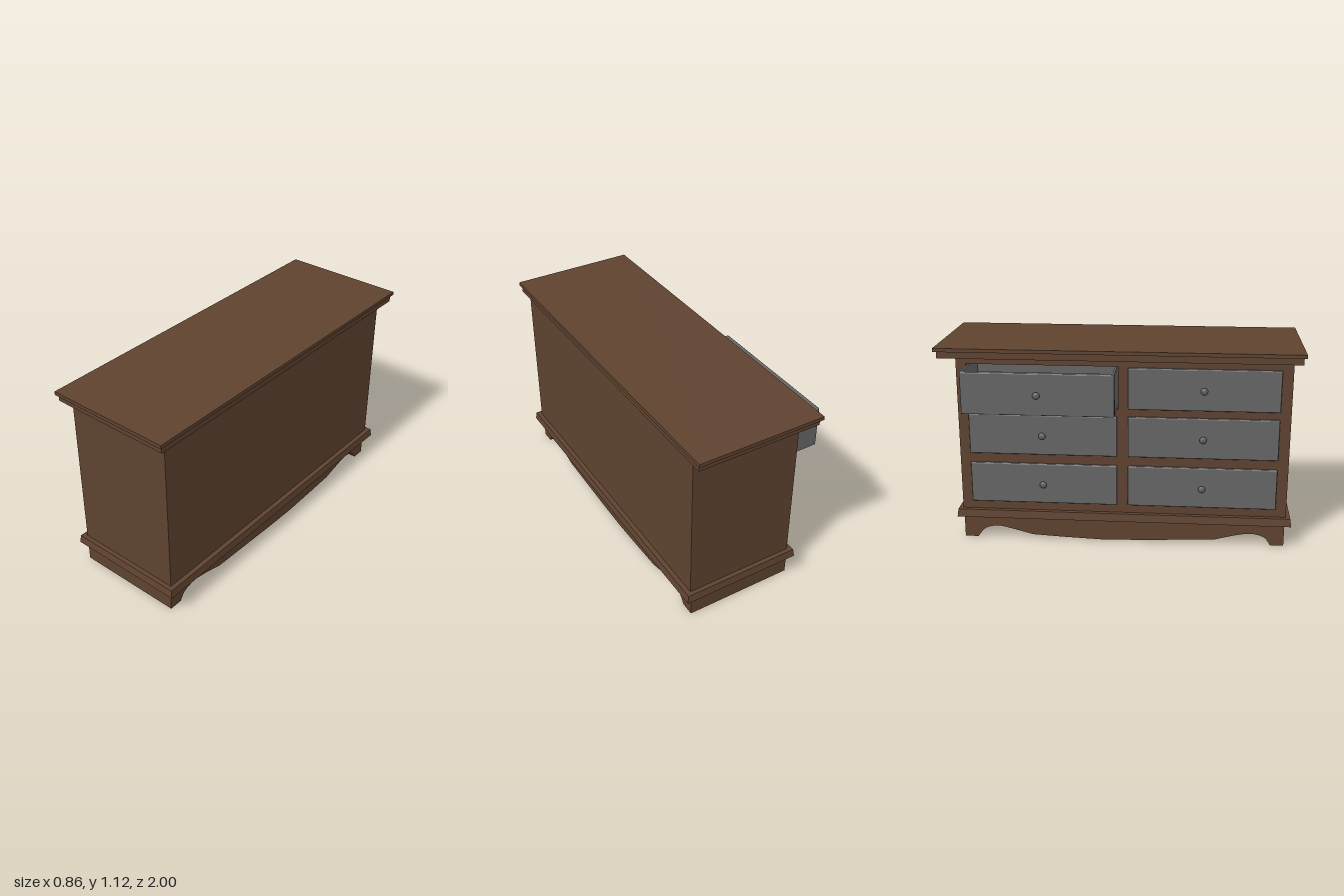
import * as THREE from 'three';
import { RoundedBoxGeometry } from 'three/addons/geometries/RoundedBoxGeometry.js';

export function createModel() {
  const wood = new THREE.MeshStandardMaterial({ color: 0x5f4330 });
  wood.name = 'brownWood';
  const grey = new THREE.MeshStandardMaterial({ color: 0x666666 });
  grey.name = 'drawerGrey';

  const group = new THREE.Group();
  group.name = 'dresser';

  const add = (name, geometry, material, parent = group) => {
    const mesh = new THREE.Mesh(geometry, material);
    mesh.name = name;
    parent.add(mesh);
    return mesh;
  };
  // Box given by its limits on each axis
  const box = (name, [x0, x1], [y0, y1], [z0, z1], material, parent, radius = 0) => {
    const size = [x1 - x0, y1 - y0, z1 - z0];
    const geometry = radius ? new RoundedBoxGeometry(...size, 2, radius) : new THREE.BoxGeometry(...size);
    geometry.translate((x0 + x1) / 2, (y0 + y1) / 2, (z0 + z1) / 2);
    return add(name, geometry, material, parent);
  };

  const columns = [[-0.83, -0.005], [0.055, 0.88]];
  const rows = [[0.225, 0.457], [0.513, 0.743], [0.787, 1.018]];

  // Two-step top
  box('topBoard', [-0.285, 0.427], [1.097, 1.117], [-1, 1], wood);
  box('topMoulding', [-0.275, 0.417], [1.06, 1.097], [-0.982, 0.985], wood);

  // Case: solid back part, front part with a cavity for the open drawer
  const rect = (target, z0, z1, y0, y1) => {
    // shape x runs along -z, so the extrusion can be turned to face -x
    target.moveTo(-z1, y0).lineTo(-z0, y0).lineTo(-z0, y1).lineTo(-z1, y1).closePath();
    return target;
  };
  box('caseBack', [0, 0.39], [0.13, 1.06], [-0.89, 0.94], wood);
  const face = rect(new THREE.Shape(), -0.89, 0.94, 0.13, 1.06);
  face.holes.push(rect(new THREE.Path(), -0.834, -0.001, 0.783, 1.022));
  const caseFront = new THREE.ExtrudeGeometry(face, { depth: 0.23, bevelEnabled: false });
  caseFront.rotateY(Math.PI / 2).translate(-0.23, 0, 0);
  add('caseFront', caseFront, wood);

  // Base moulding, slightly narrower at the top
  const moulding = new THREE.BoxGeometry(0.684, 0.045, 1.89);
  const p = moulding.attributes.position;
  for (let i = 0; i < p.count; i++) {
    if (p.getY(i) > 0) {
      p.setX(i, p.getX(i) - 0.006 * Math.sign(p.getX(i)));
      p.setZ(i, p.getZ(i) - 0.006 * Math.sign(p.getZ(i)));
    }
  }
  moulding.computeVertexNormals();
  moulding.translate(0.08, 0.1525, 0.025);
  add('baseMoulding', moulding, wood);

  // Plinth with a scalloped underside between the feet
  const base = new THREE.Shape();
  base.moveTo(-0.935, 0.13).lineTo(-0.935, 0.004).lineTo(-0.86, 0.004);
  base.splineThru([[-0.825, 0.05], [-0.75, 0.07], [-0.66, 0.057], [-0.54, 0.026]]
    .map(([x, y]) => new THREE.Vector2(x, y)));
  base.lineTo(-0.45, 0.023).lineTo(-0.1, 0.009).lineTo(0.1, 0.005).lineTo(0.3, 0.013).lineTo(0.49, 0.023);
  base.splineThru([[0.6, 0.052], [0.69, 0.07], [0.765, 0.052], [0.81, 0]]
    .map(([x, y]) => new THREE.Vector2(x, y)));
  base.lineTo(0.885, 0).lineTo(0.885, 0.13).closePath();
  const plinth = new THREE.ExtrudeGeometry(base, { depth: 0.615, bevelEnabled: false, curveSegments: 14 });
  plinth.rotateY(Math.PI / 2).translate(-0.235, 0, 0);
  add('scallopedBase', plinth, wood);

  // Knob: thin stem and rounded disc, turned around the x axis
  const profile = [[0, -0.01], [0.008, -0.01], [0.007, 0.018], [0.019, 0.021], [0.02, 0.024], [0.013, 0.029], [0, 0.031]]
    .map(([r, h]) => new THREE.Vector2(r, h));
  const knobGeometry = new THREE.LatheGeometry(profile, 20).rotateZ(Math.PI / 2);

  columns.forEach(([z0, z1], c) => rows.forEach(([y0, y1], r) => {
    const open = c === 0 && r === 2;
    const x = open ? -0.402 : -0.248;
    const drawer = new THREE.Group();
    drawer.name = open ? 'openDrawer' : 'drawer';
    group.add(drawer);
    box('drawerFront', [x, x + 0.035], [y0, y1], [z0, z1], grey, drawer, 0.006);
    add('knob', knobGeometry, grey, drawer).position.set(x, (y0 + y1) / 2 + 0.002, (z0 + z1) / 2);
    if (open) {
      // Hollow box behind the open front
      const t = 0.012, depth = [x + 0.025, -0.012];
      box('drawerSide', depth, [y0 + 0.001, y1 - 0.001], [z0 + 0.001, z0 + t], grey, drawer);
      box('drawerSide', depth, [y0 + 0.001, y1 - 0.001], [z1 - t, z1 - 0.001], grey, drawer);
      box('drawerBack', [-0.025, -0.012], [y0 + 0.002, y1 - 0.002], [z0 + t, z1 - t], grey, drawer);
      box('drawerFloor', depth, [y0 + 0.002, y0 + t], [z0 + 0.004, z1 - 0.004], grey, drawer);
    }
  }));

  return group;
}
